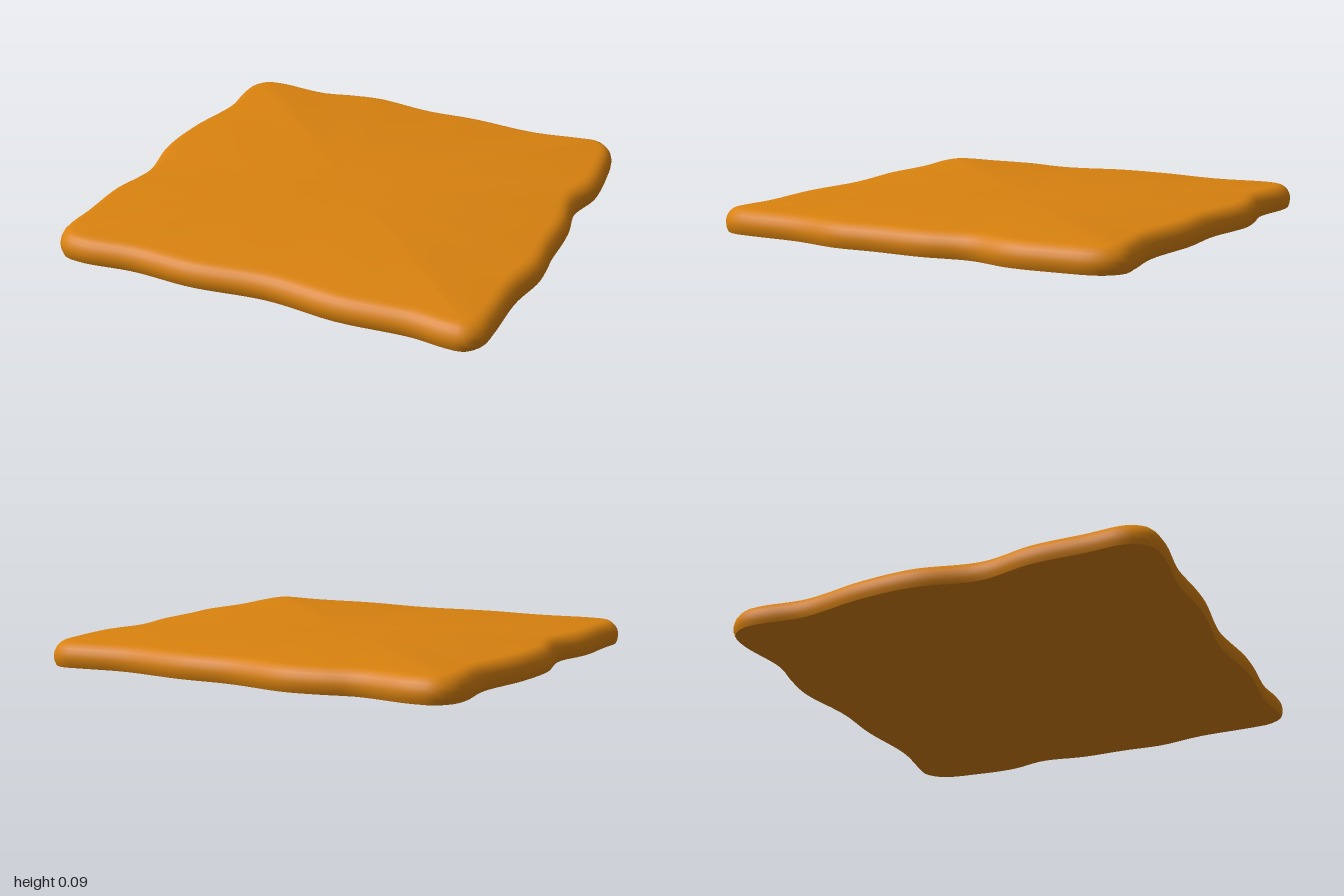
import * as THREE from 'three';
import { toCreasedNormals } from 'three/addons/utils/BufferGeometryUtils.js';

// Wavy outline of the slice as [x, z], clockwise seen from above
const OUTLINE = [
  [-0.29, -1], [-0.21, -0.975], [-0.05, -0.87], [0.06, -0.84], [0.18, -0.795], [0.36, -0.665],
  [0.53, -0.58], [0.74, -0.445], [0.89, -0.39], [0.97, -0.355], [1, -0.28], [0.955, -0.13],
  [0.89, 0.01], [0.795, 0.125], [0.74, 0.285], [0.66, 0.445], [0.6, 0.58], [0.5, 0.715],
  [0.405, 0.895], [0.36, 0.965], [0.295, 0.995], [0.235, 0.97], [0.14, 0.905], [-0.09, 0.8],
  [-0.305, 0.66], [-0.555, 0.56], [-0.745, 0.45], [-0.92, 0.38], [-0.985, 0.33], [-0.995, 0.25],
  [-0.93, 0.12], [-0.85, -0.04], [-0.74, -0.185], [-0.68, -0.4], [-0.585, -0.575],
  [-0.45, -0.76], [-0.395, -0.905], [-0.355, -0.97],
];

// Edge section from underside to top as [inset, y]
const EDGE = [
  [0.008, 0], [0.002, 0.015], [0, 0.035], [0.004, 0.05], [0.012, 0.064],
  [0.023, 0.075], [0.036, 0.082], [0.052, 0.085],
];

const SEGMENTS = 190;

function sliceGeometry() {
  const curve = new THREE.CatmullRomCurve3(
    OUTLINE.map(([x, z]) => new THREE.Vector3(x, 0, z)), true, 'centripetal');
  const positions = [];
  const index = [];

  // Rings of the edge section, moved inwards along the outline's normal
  for (const [inset, y] of EDGE) {
    for (let i = 0; i < SEGMENTS; i++) {
      const p = curve.getPointAt(i / SEGMENTS);
      const t = curve.getTangentAt(i / SEGMENTS);
      positions.push(p.x - t.z * inset, y, p.z + t.x * inset);
    }
  }
  const bottom = EDGE.length * SEGMENTS;
  const top = bottom + 1;
  const last = (EDGE.length - 1) * SEGMENTS;
  positions.push(0, 0, 0, 0, EDGE[EDGE.length - 1][1], 0);

  for (let i = 0; i < SEGMENTS; i++) {
    const j = (i + 1) % SEGMENTS;
    for (let r = 0; r < last; r += SEGMENTS) {
      const a = r + i, b = r + j, c = a + SEGMENTS, d = b + SEGMENTS;
      index.push(a, c, d, a, d, b);
    }
    // Flat underside and top
    index.push(bottom, i, j, last + i, top, last + j);
  }

  const geometry = new THREE.BufferGeometry();
  geometry.setAttribute('position', new THREE.Float32BufferAttribute(positions, 3));
  geometry.setIndex(index);
  return toCreasedNormals(geometry, 0.9);
}

export function createModel() {
  const group = new THREE.Group();
  const slice = new THREE.Mesh(
    sliceGeometry(), new THREE.MeshStandardMaterial({ color: 0xd9820f }));
  slice.name = 'cheeseSlice';
  group.add(slice);
  return group;
}
